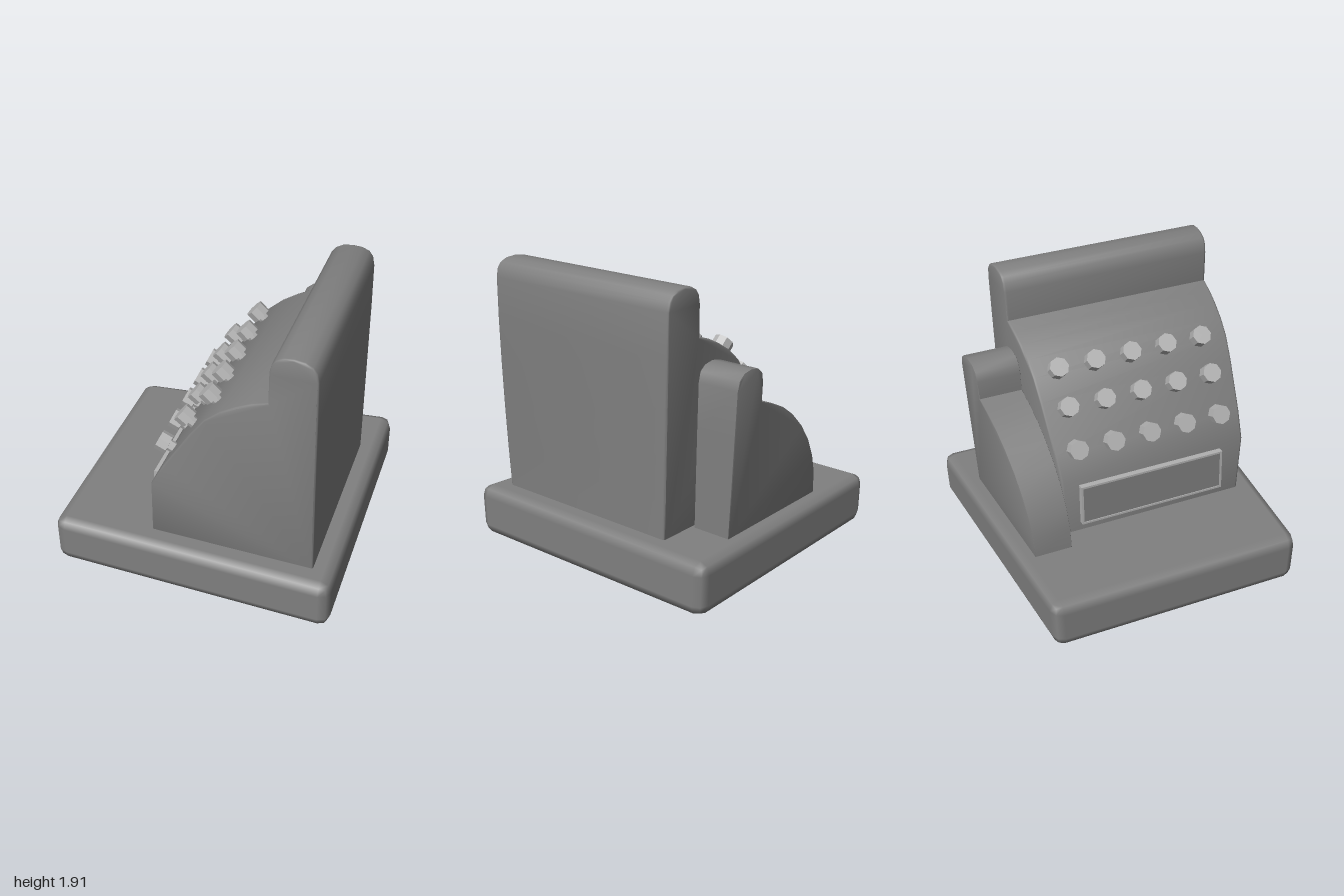
import * as THREE from 'three';
import { RoundedBoxGeometry } from 'three/addons/geometries/RoundedBoxGeometry.js';
import { toCreasedNormals } from 'three/addons/utils/BufferGeometryUtils.js';

const dark = new THREE.MeshStandardMaterial({ color: 0x808080 });
const light = new THREE.MeshStandardMaterial({ color: 0xb2b2b2 });

function add(parent, name, geometry, material) {
  const mesh = new THREE.Mesh(geometry, material);
  mesh.name = name;
  parent.add(mesh);
  return mesh;
}

// Moves every vertex by rule(v)
function warp(geometry, rule) {
  const p = geometry.attributes.position;
  const v = new THREE.Vector3();
  for (let i = 0; i < p.count; i++) {
    v.fromBufferAttribute(p, i);
    rule(v);
    p.setXYZ(i, v.x, v.y, v.z);
  }
  return geometry;
}

// Extrudes a side profile, with z running between two limits that depend on x and y
function profileSolid(points, bevel, zBack, zFront) {
  const shape = new THREE.Shape(points.map(([x, y]) => new THREE.Vector2(x, y)));
  const g = new THREE.ExtrudeGeometry(shape, {
    depth: 1 - 2 * bevel, bevelEnabled: true, bevelThickness: bevel,
    bevelSize: bevel, bevelOffset: -bevel, bevelSegments: 2,
  });
  g.translate(0, 0, bevel);
  warp(g, (v) => {
    v.z = THREE.MathUtils.lerp(zBack(v.x, v.y), zFront(v.x, v.y), v.z);
  });
  return toCreasedNormals(g, 0.9);
}

export function createModel() {
  const model = new THREE.Group();
  model.name = 'cashRegister';

  // Base slab, wider towards +x and slightly narrower at the bottom
  const base = new RoundedBoxGeometry(1.92, 0.35, 2.01, 1, 0.075);
  base.translate(0, 0.175, 0);
  warp(base, (v) => {
    v.z *= (1 - 0.13 * (0.96 - v.x) / 1.92) * (1 - 0.015 * (1 - v.y / 0.35));
  });
  add(model, 'base', base, dark);

  // Main body: sloping keyboard face, raised hood along +x
  const rise = (y) => (y - 0.35) / 1.57;
  const bodyTaper = (x) => 1 + 0.07 * (x - 0.8);
  const bodyProfile = [
    [-0.295, 0.32], [-0.28, 0.75], [-0.19, 0.92], [0, 1.22], [0.1, 1.355],
    [0.2, 1.44], [0.3, 1.5], [0.4, 1.548], [0.505, 1.58],
    [0.508, 1.79], [0.521, 1.85], [0.547, 1.885], [0.59, 1.907], [0.657, 1.915],
    [0.724, 1.907], [0.77, 1.885], [0.797, 1.85], [0.809, 1.79], [0.812, 1.5],
    [0.812, 1.2], [0.812, 0.9], [0.812, 0.6], [0.812, 0.32],
  ].reverse();
  add(model, 'body', profileSolid(bodyProfile, 0.01,
    (x, y) => -(0.57 + 0.045 * rise(y)) * bodyTaper(x),
    (x, y) => (0.83 + 0.065 * (1 - (1 - rise(y)) ** 2)) * bodyTaper(x)), dark);

  // Smaller housing on the back side
  const sideTaper = (x) => 1 + 0.07 * (x - 0.53);
  const sideProfile = [
    [-0.442, 0.32], [-0.43, 0.5], [-0.39, 0.63], [-0.32, 0.765], [-0.22, 0.89],
    [-0.1, 1.0], [0.02, 1.08], [0.15, 1.14], [0.27, 1.18],
    [0.272, 1.31], [0.289, 1.375], [0.335, 1.41], [0.405, 1.422], [0.478, 1.41],
    [0.523, 1.375], [0.538, 1.31], [0.54, 1.0], [0.54, 0.65], [0.54, 0.32],
  ].reverse();
  add(model, 'sideHousing', profileSolid(sideProfile, 0.008,
    (x, y) => -(0.857 + 0.064 * rise(y) / 0.68) * sideTaper(x),
    (x, y) => -(0.582 + 0.03 * rise(y) / 0.68) * sideTaper(x)), dark);

  // Keys: five columns in three rows, each a faceted head on a thin stem
  const rows = [
    { x: -0.245, y: 0.97, nx: -0.91, ny: 0.42 },
    { x: -0.095, y: 1.208, nx: -0.78, ny: 0.63 },
    { x: 0.071, y: 1.41, nx: -0.73, ny: 0.69 },
  ];
  const head = toCreasedNormals(new THREE.CylinderGeometry(0.066, 0.066, 0.075, 8), 0.3);
  const stem = toCreasedNormals(new THREE.CylinderGeometry(0.036, 0.036, 0.16, 8), 0.3);
  stem.translate(0, -0.08, 0);
  const up = new THREE.Vector3(0, 1, 0);
  rows.forEach(({ x, y, nx, ny }) => {
    for (let i = 0; i < 5; i++) {
      const key = new THREE.Group();
      key.name = 'key';
      add(key, 'keyHead', head, light);
      add(key, 'keyStem', stem, light);
      key.position.set(x, y, -0.408 + i * 0.258);
      key.quaternion.setFromUnitVectors(up, new THREE.Vector3(nx, ny, 0).normalize());
      model.add(key);
    }
  });

  // Drawer front: a thin dark panel inside a narrow light rim
  const drawer = new THREE.Group();
  drawer.name = 'drawer';
  const rect = (path, w, h) => path.moveTo(-w, -h).lineTo(w, -h).lineTo(w, h).lineTo(-w, h).closePath();
  const rim = rect(new THREE.Shape(), 0.52, 0.148);
  rim.holes.push(rect(new THREE.Path(), 0.506, 0.134));
  add(drawer, 'drawerRim', new THREE.ExtrudeGeometry(rim, { depth: 0.04, bevelEnabled: false }), light);
  add(drawer, 'drawerPanel', new THREE.BoxGeometry(1.02, 0.276, 0.034), dark).position.z = 0.017;
  drawer.rotation.set(0, -Math.PI / 2, -0.035, 'ZYX');
  drawer.position.set(-0.288, 0.565, 0.1);
  model.add(drawer);

  return model;
}
